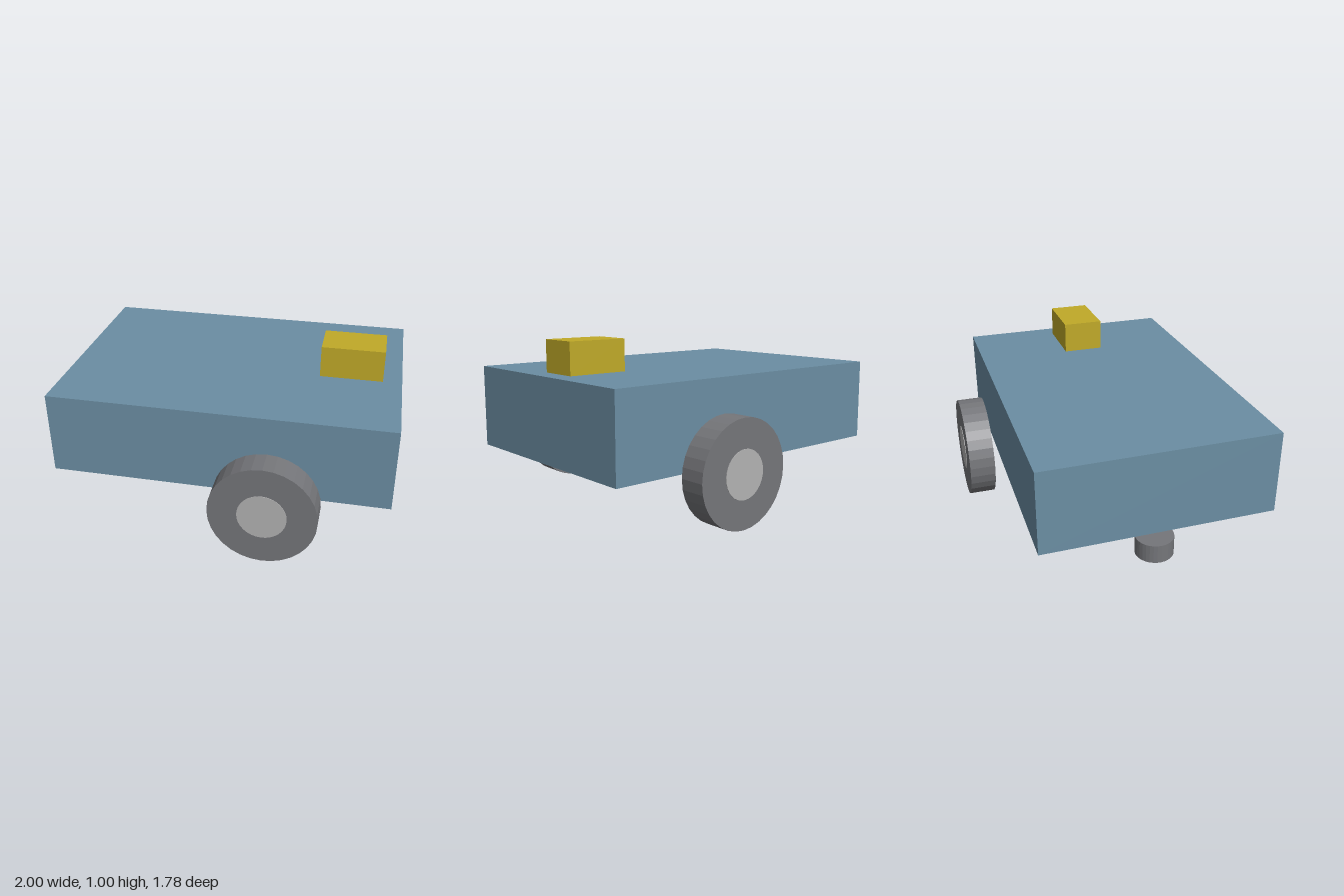
import * as THREE from 'three';

const mat = (color) => new THREE.MeshStandardMaterial({ color, flatShading: true });

function add(parent, name, geometry, material, x, y, z) {
  const mesh = new THREE.Mesh(geometry, material);
  mesh.name = name;
  mesh.position.set(x, y, z);
  parent.add(mesh);
  return mesh;
}

export function createModel() {
  const model = new THREE.Group();
  model.name = 'wheeledRobot';

  const blue = mat(0x6b8ea3);
  const yellow = mat(0xc0aa28);
  const rubber = mat(0x75767a);
  const metal = mat(0xb3b3b3);

  // Chassis and the sensor box on its deck
  add(model, 'chassis', new THREE.BoxGeometry(1.986, 0.495, 1.366), blue, 0.003, 0.562, 0);
  add(model, 'sensor', new THREE.BoxGeometry(0.371, 0.19, 0.246), yellow, 0.699, 0.905, 0);

  // Drive wheels, one on each side, with hubs just proud of both faces
  const tireGeometry = new THREE.CylinderGeometry(0.309, 0.309, 0.155, 32).rotateX(Math.PI / 2);
  const hubGeometry = new THREE.CylinderGeometry(0.14, 0.14, 0.161, 32).rotateX(Math.PI / 2);
  for (const side of [1, -1]) {
    const wheel = new THREE.Group();
    wheel.name = side > 0 ? 'frontWheel' : 'backWheel';
    wheel.position.set(0.302, 0.309, side * 0.811);
    add(wheel, 'tire', tireGeometry, rubber, 0, 0, 0);
    add(wheel, 'hub', hubGeometry, metal, 0, 0, 0);
    model.add(wheel);
  }

  // Small upright caster below the other end of the chassis
  add(model, 'caster', new THREE.CylinderGeometry(0.111, 0.111, 0.111, 32), rubber, -0.889, 0.172, 0);

  return model;
}
